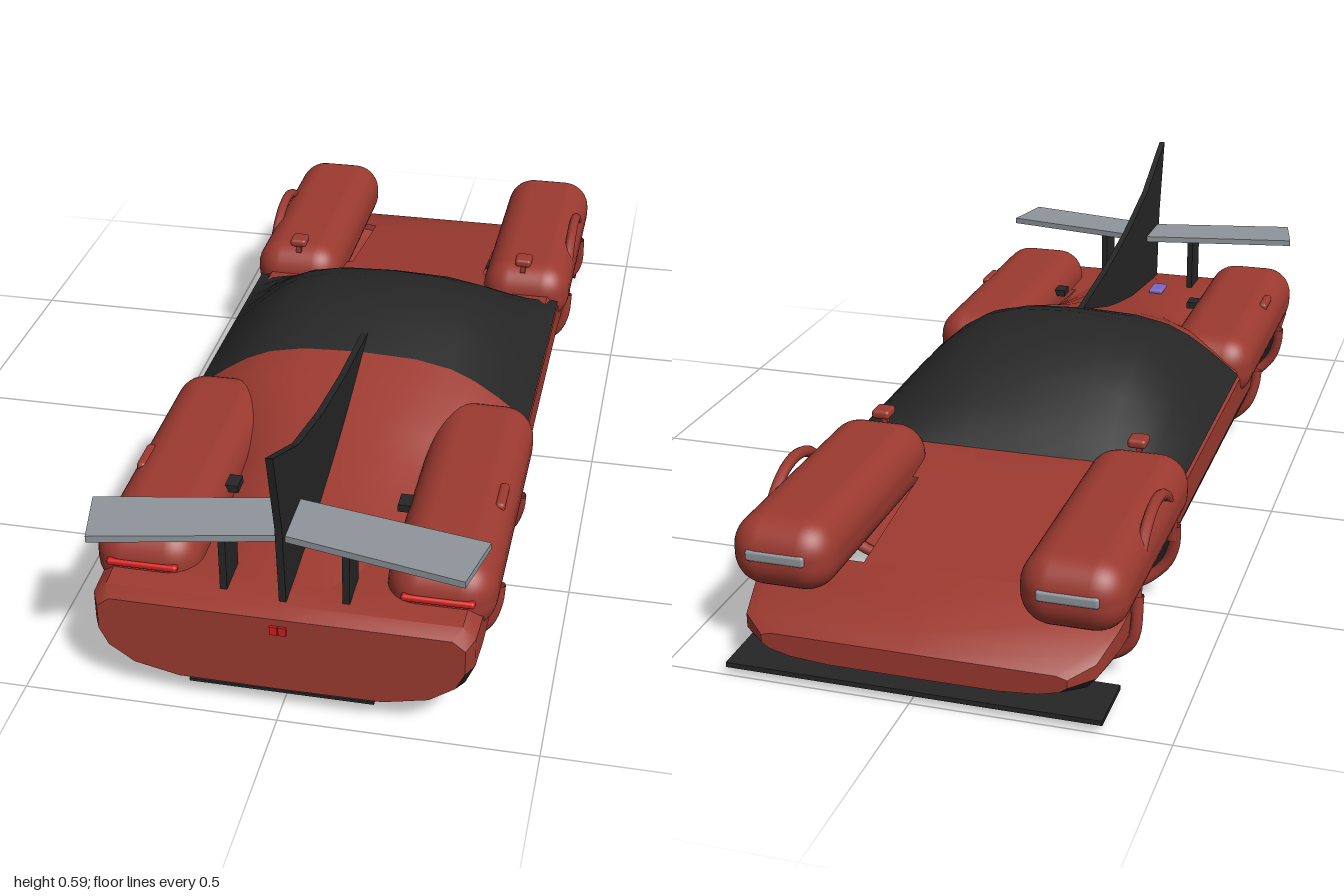
import * as THREE from 'three';
import { toCreasedNormals } from 'three/addons/utils/BufferGeometryUtils.js';
import { RoundedBoxGeometry } from 'three/addons/geometries/RoundedBoxGeometry.js';

const mat = (name, color, side = THREE.DoubleSide) => {
  const m = new THREE.MeshStandardMaterial({ color, side });
  m.name = name;
  return m;
};
const red = mat('bodyRed', 0x9c3a30), black = mat('trimBlack', 0x262626), grey = mat('wingGrey', 0x8f959b);
const lampRed = mat('lampRed', 0xd01e1e), purple = mat('lampPurple', 0x7c68c4);

// Hull stations: z, half width, bottom, top
const stations = [
  [-0.985, 0.30, 0.04, 0.09], [-0.95, 0.345, 0.025, 0.115], [-0.86, 0.365, 0.012, 0.145], [-0.79, 0.37, 0.006, 0.158],
  [-0.48, 0.37, 0.004, 0.205], [-0.35, 0.37, 0.004, 0.225], [0.24, 0.37, 0.004, 0.235], [0.42, 0.37, 0.004, 0.23],
  [0.73, 0.37, 0.004, 0.225], [0.86, 0.37, 0.012, 0.225], [0.94, 0.367, 0.03, 0.222], [0.97, 0.352, 0.045, 0.21],
];
// Half section as fractions of width and height, keel to deck centre
const section = [[0, 0], [0.56, 0.01], [0.81, 0.13], [0.95, 0.34], [1, 0.56], [1, 0.88], [0.93, 1], [0, 1]];
const arches = [-0.635, 0.575], archR = 0.165, archY = 0.09;
const archHalf = y => Math.sqrt(archR ** 2 - Math.min(y - archY, 0.06) ** 2);

function stationAt(z) {
  let i = 0;
  while (i < stations.length - 2 && stations[i + 1][0] < z) i++;
  const a = stations[i], b = stations[i + 1], t = (z - a[0]) / (b[0] - a[0]);
  return a.map((v, k) => v + (b[k] - v) * t);
}
const ring = ([z, w, b, t], side = 1) => section.map(([u, v]) => [side * u * w, b + v * (t - b), z]);
// Ring whose edge follows the round wheel opening
const archRing = (zc, dir, side) => ring(stationAt(zc + dir * 0.15), side).map(([x, y]) => [x, y, zc + dir * archHalf(y)]);

// Skin through rows of points
function loft(rows, crease = 0.7) {
  const n = rows[0].length, index = [];
  for (let r = 0; r < rows.length - 1; r++) for (let i = 0; i < n - 1; i++) {
    const a = r * n + i, b = a + n;
    index.push(a, b, a + 1, a + 1, b, b + 1);
  }
  const g = new THREE.BufferGeometry();
  g.setAttribute('position', new THREE.Float32BufferAttribute(rows.flat(2), 3));
  g.setIndex(index);
  g.computeVertexNormals();
  return toCreasedNormals(g, crease);
}

// Plate from an outline
function plate(points, depth) {
  const s = new THREE.Shape(points.map(p => new THREE.Vector2(...p)));
  return new THREE.ExtrudeGeometry(s, { depth, bevelEnabled: false });
}

export function createModel() {
  const car = new THREE.Group();
  car.name = 'car';
  const add = (name, geo, m, x = 0, y = 0, z = 0) => {
    const mesh = new THREE.Mesh(geo, m);
    mesh.name = name;
    mesh.position.set(x, y, z);
    car.add(mesh);
    return mesh;
  };
  const box = (name, w, h, d, m, x, y, z) => add(name, new THREE.BoxGeometry(w, h, d), m, x, y, z);
  const round = (name, w, h, d, r, m, x, y, z) => add(name, new RoundedBoxGeometry(w, h, d, 5, r), m, x, y, z);

  // Hollow hull in nose, cabin and tail parts, with black sills
  for (const side of [-1, 1]) {
    const rings = (a, b) => stations.slice(a, b).map(s => ring(s, side));
    const hulls = {
      nose: [...rings(0, 3), archRing(arches[0], -1, side)],
      cabin: [archRing(arches[0], 1, side), ...rings(5, 7), archRing(arches[1], -1, side)],
      tail: [archRing(arches[1], 1, side), ...rings(9, 12)],
    };
    for (const [name, rows] of Object.entries(hulls)) {
      const band = (a, b) => loft(rows.map(r => r.slice(a, b + 1)));
      add(name + 'Floor', band(0, 2), red);
      add(name + 'Sill', band(2, 4), black);
      add(name + 'Top', band(4, 7), red);
    }
  }
  // End faces
  for (const [name, s] of [['noseFace', stations[0]], ['tailFace', stations.at(-1)]]) {
    const half = ring(s).map(p => new THREE.Vector2(p[0], p[1]));
    const left = half.slice(1, -1).reverse().map(p => new THREE.Vector2(-p.x, p.y));
    add(name, new THREE.ShapeGeometry(new THREE.Shape([...half, ...left])), red, 0, 0, s[0]);
  }
  // Deck and floor strips between the wheel openings
  for (const zc of arches) for (const v of [0, 1]) {
    const rows = [-1, 1].map(d => {
      const z = zc + d * 0.15, s = stationAt(z), y = s[2 + v], e = zc + d * archHalf(y);
      return [[-0.168, y, e], [0.168, y, e]];
    });
    add(v ? 'deckStrip' : 'floorStrip', loft(rows), red);
  }

  // Canopy and the fairing behind it: z, half width, base, crown
  const dome = [[1, 0], [0.95, 0.12], [0.81, 0.42], [0.68, 0.66], [0.54, 0.84], [0.33, 0.96], [0, 1]];
  const domeRow = ([z, w, b, t]) => [
    ...dome.map(([u, v]) => [-u * w, b + v * (t - b), z]),
    ...dome.slice(0, -1).reverse().map(([u, v]) => [u * w, b + v * (t - b), z]),
  ];
  const canopy = [[-0.35, 0.22], [-0.32, 0.255], [-0.27, 0.295], [-0.2, 0.341], [-0.13, 0.377], [-0.06, 0.4], [0, 0.409],
    [0.07, 0.405], [0.14, 0.388], [0.225, 0.36]].map(([z, t]) => [z, 0.371, 0.217 + 0.018 * (z + 0.35), t]);
  add('canopy', loft(canopy.map(domeRow), 1.2), black);
  const fairing = [[0.222, 0.37, 0.227, 0.36], [0.3, 0.35, 0.225, 0.336], [0.4, 0.27, 0.22, 0.306], [0.5, 0.22, 0.215, 0.282],
    [0.65, 0.2, 0.21, 0.252], [0.88, 0.18, 0.205, 0.226]];
  add('engineFairing', loft(fairing.map(domeRow), 1.2), red);

  // Tail fin
  const fin = plate([[0.93, 0.222], [0.945, 0.4], [0.99, 0.58], [0.8, 0.49], [0.6, 0.437], [0.4, 0.402], [0.15, 0.375],
    [0.2, 0.34], [0.5, 0.26]], 0.014);
  fin.rotateY(-Math.PI / 2);
  add('tailFin', fin, black, 0.007);

  // Swept wing
  const wing = plate([[0, 0.8], [0.38, 0.87], [0.352, 0.995], [0, 0.922], [-0.352, 0.995], [-0.38, 0.87]], 0.014);
  wing.rotateX(Math.PI / 2);
  add('rearWing', wing, grey, 0, 0.368);

  for (const side of [-1, 1]) {
    // Fender pods
    round('rearFender', 0.21, 0.15, 0.65, 0.065, red, side * 0.286, 0.223, 0.565);
    round('frontFender', 0.21, 0.145, 0.59, 0.065, red, side * 0.286, 0.213, -0.645);

    // Lips around the wheel openings
    for (const zc of arches) {
      for (const dir of [-1, 1]) {
        const pts = archRing(zc, dir, side).slice(1, 5).map(([x, y, z]) => new THREE.Vector3(x + side * 0.008, y, z));
        pts.push(new THREE.Vector3(side * 0.382, 0.17, zc + dir * 0.155));
        add('archLip', new THREE.TubeGeometry(new THREE.CatmullRomCurve3(pts), 20, 0.012, 8), red);
      }
    }
    const arc = new THREE.TorusGeometry(0.155, 0.012, 8, 28, Math.PI);
    arc.rotateY(Math.PI / 2);
    add('frontArchRing', arc, red, side * 0.376, 0.136, arches[0]);

    // Mirrors, wing struts and small fittings
    box('mirrorPost', 0.012, 0.03, 0.012, red, side * 0.28, 0.29, -0.375);
    round('mirror', 0.04, 0.02, 0.045, 0.008, red, side * 0.28, 0.302, -0.385);
    box('wingStrut', 0.014, 0.14, 0.08, black, side * 0.118, 0.29, 0.875);
    box('exhaust', 0.03, 0.016, 0.04, black, side * 0.178, 0.257, 0.62);
    round('fillerCap', 0.02, 0.02, 0.08, 0.008, red, side * 0.365, 0.283, 0.6);

    // Lamps
    round('tailLamp', 0.14, 0.014, 0.02, 0.006, lampRed, side * 0.286, 0.235, 0.885);
    round('deckLamp', 0.036, 0.012, 0.06, 0.005, purple, side * 0.055, 0.248, 0.735);
    round('headLamp', 0.12, 0.022, 0.016, 0.006, grey, side * 0.286, 0.222, -0.935);
    box('centreLamp', 0.015, 0.018, 0.006, lampRed, side * 0.0085, 0.186, 0.972);
  }

  // Front splitter and rear slot
  box('frontSplitter', 0.74, 0.01, 0.13, black, 0, 0.016, -0.935);
  box('rearSlot', 0.36, 0.006, 0.05, black, 0, 0.034, 0.938);
  return car;
}
